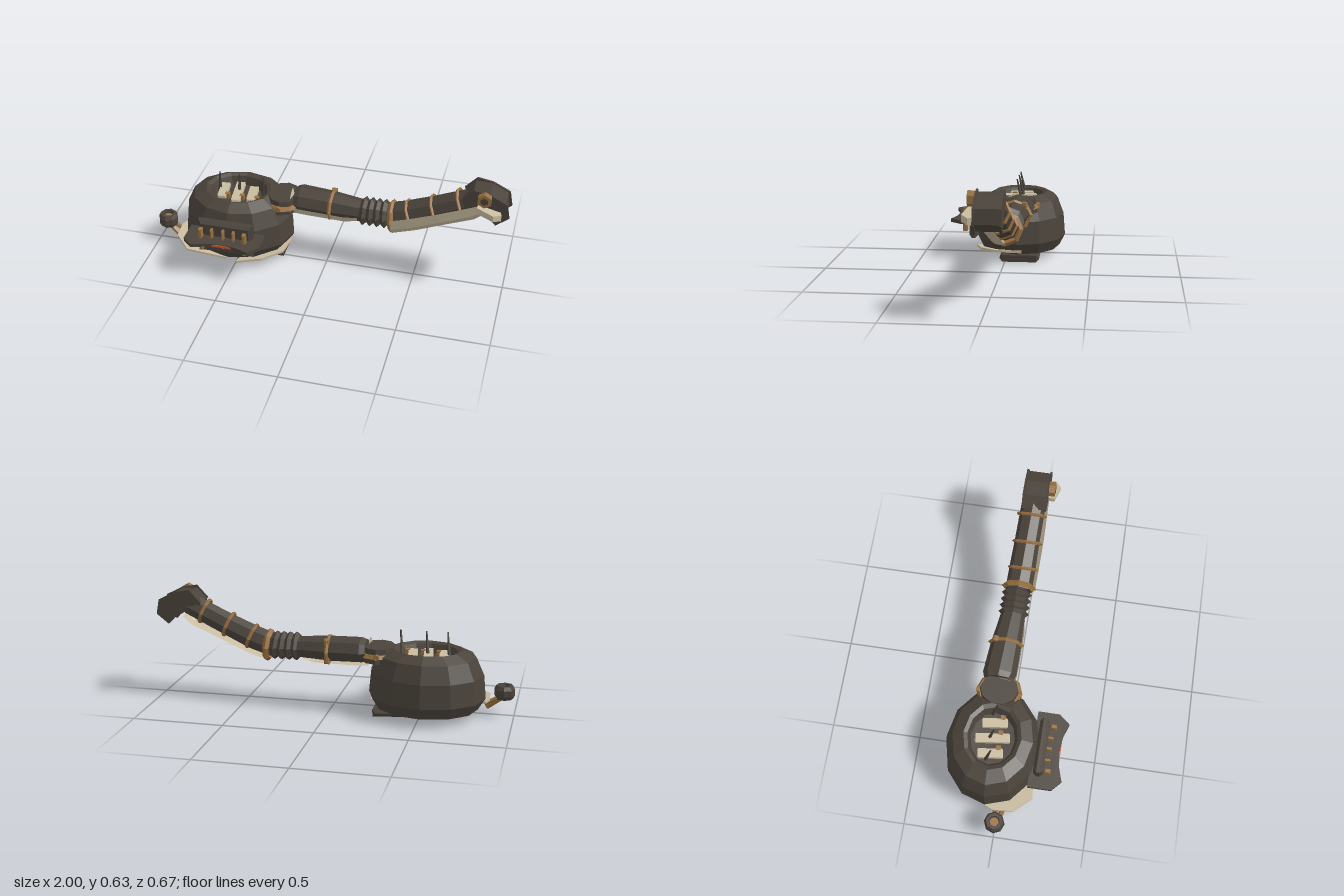
import * as THREE from 'three';

const paint = (color) => new THREE.MeshStandardMaterial({ color, flatShading: true, side: THREE.DoubleSide });

export function createModel() {
  const root = new THREE.Group();
  const dark = paint(0x4a433b), brown = paint(0x98703f), bone = paint(0xc8bb9f), ember = paint(0xd4552a);

  const add = (name, geo, mat, x = 0, y = 0, z = 0) => {
    const m = new THREE.Mesh(geo, mat);
    m.name = name;
    m.position.set(x, y, z);
    root.add(m);
    return m;
  };

  // box with chamfered edges, centred
  const bevelBox = (w, h, d, b) => {
    const x = w / 2 - b, y = h / 2 - b;
    const s = new THREE.Shape([[-x, -y], [x, -y], [x, y], [-x, y]].map((p) => new THREE.Vector2(...p)));
    return new THREE.ExtrudeGeometry(s, { depth: d - 2 * b, bevelEnabled: true, bevelSize: b, bevelThickness: b, bevelSegments: 1 })
      .translate(0, 0, b - d / 2);
  };

  // flat plate from [x, z] corners, sloping along x around x0
  const plate = (pts, thick, slope = 0, x0 = 0) => {
    const s = new THREE.Shape(pts.map(([x, z]) => new THREE.Vector2(x, -z)));
    const g = new THREE.ExtrudeGeometry(s, { depth: thick, bevelEnabled: false }).rotateX(-Math.PI / 2);
    const p = g.attributes.position;
    for (let i = 0; i < p.count; i++) p.setY(i, p.getY(i) + slope * (p.getX(i) - x0));
    g.computeVertexNormals();
    return g;
  };

  // skin over stations [x, y, z, halfHeight, halfWidth, tilt]; angle 0 is up, a quarter turn is +z
  const loft = (stations, from = 0, to = Math.PI * 2, n = 8) => {
    const pos = [], idx = [];
    stations.forEach(([x, y, z, h, w, tilt = 0], i) => {
      for (let j = 0; j <= n; j++) {
        const t = from + (to - from) * j / n, u = h * Math.cos(t);
        pos.push(x - u * Math.sin(tilt), y + u * Math.cos(tilt), z + w * Math.sin(t));
        if (i && j < n) {
          const a = (i - 1) * (n + 1) + j, b = a + n + 1;
          idx.push(a, a + 1, b, a + 1, b + 1, b);
        }
      }
    });
    const g = new THREE.BufferGeometry();
    g.setAttribute('position', new THREE.Float32BufferAttribute(pos, 3));
    g.setIndex(idx);
    g.computeVertexNormals();
    return g;
  };

  // octagonal band around the arm
  const band = (name, x, y, z, h, w, tilt = 0, tube = 0.011, mat = brown) => {
    const g = new THREE.TorusGeometry(1, tube / h, 4, 8).scale(w, h, h);
    add(name, g, mat, x, y, z).rotation.set(0, Math.PI / 2, tilt, 'ZYX');
  };

  const rod = (name, a, b, r, mat, r2 = r, sides = 6) => {
    const A = new THREE.Vector3(...a), B = new THREE.Vector3(...b), d = B.clone().sub(A);
    const m = add(name, new THREE.CylinderGeometry(r2, r, d.length(), sides), mat);
    m.position.copy(A).add(B).multiplyScalar(0.5);
    m.quaternion.setFromUnitVectors(new THREE.Vector3(0, 1, 0), d.normalize());
  };

  // body: twelve-sided oval pot with a sunken top
  const profile = [[0, 0.025], [0.17, 0.025], [0.28, 0.045], [0.32, 0.11], [0.308, 0.24], [0.265, 0.335],
    [0.19, 0.37], [0.165, 0.36], [0.145, 0.31], [0, 0.305]].map((p) => new THREE.Vector2(...p));
  add('body', new THREE.LatheGeometry(profile, 12).scale(1, 1, 0.83), dark, -0.53, 0, -0.07);

  // slats and spikes in the top opening
  [-0.62, -0.535, -0.45].forEach((x, i) => {
    add('topSlat', bevelBox(0.05, 0.025, i === 1 ? 0.19 : 0.14, 0.006), bone, x, 0.335, -0.07).rotation.y = 0.12;
    const sx = [-0.65, -0.535, -0.395][i];
    rod('spike', [sx, 0.32, -0.09], [sx + 0.015, 0.465, -0.06], 0.011, dark, 0.004, 4);
    add('slatPin', new THREE.BoxGeometry(0.025, 0.03, 0.025), brown, x + 0.035, 0.335, -0.03);
  });

  // front panel with grille bars, shelf and glowing slit
  add('frontPanel', bevelBox(0.31, 0.205, 0.055, 0.018), dark, -0.525, 0.21, 0.197);
  [-0.655, -0.595, -0.53, -0.47, -0.405].forEach((x, i) => {
    const outer = i === 0 || i === 4;
    add('grilleBar', bevelBox(outer ? 0.02 : 0.012, outer ? 0.138 : 0.115, 0.032, 0.004), brown, x, outer ? 0.214 : 0.222, outer ? 0.248 : 0.238);
  });
  add('shelf', plate([[-0.745, 0.15], [-0.315, 0.15], [-0.315, 0.27], [-0.365, 0.33], [-0.44, 0.305], [-0.53, 0.295],
    [-0.61, 0.305], [-0.69, 0.33], [-0.745, 0.28]], 0.02), dark, 0, 0.205, 0);
  add('glowSlit', new THREE.BoxGeometry(0.11, 0.012, 0.015), ember, -0.52, 0.215, 0.295);

  // plates under the body
  add('leftSkirt', plate([[-0.87, -0.02], [-0.85, -0.07], [-0.75, 0], [-0.6, 0.1], [-0.55, 0.16], [-0.77, 0.185], [-0.86, 0.09]],
    0.012, -0.17, -0.55), bone, 0, 0.028, 0);
  add('rightSkirt', plate([[-0.48, 0.19], [-0.34, 0.15], [-0.24, 0.06], [-0.22, -0.1], [-0.42, -0.06]],
    0.014, 0.1, -0.48), bone, 0, 0.033, 0);
  add('footPlate', bevelBox(0.36, 0.04, 0.23, 0.016), dark, -0.43, 0.03, -0.083).rotation.z = -0.06;

  // side knob and its brown stem
  const knob = [[0.025, 0.11], [0.03, 0.095], [0.045, 0.095], [0.056, 0.115], [0.056, 0.15], [0.045, 0.17], [0.03, 0.17], [0.025, 0.15]];
  add('sideKnob', new THREE.LatheGeometry(knob.map((p) => new THREE.Vector2(...p)), 8), dark, -0.945, 0, 0);
  add('knobCore', new THREE.CylinderGeometry(0.027, 0.027, 0.045, 6), brown, -0.945, 0.13, 0);
  rod('knobStem', [-0.95, 0.11, 0.005], [-0.85, 0.03, 0.03], 0.014, brown);
  rod('knobStem', [-0.93, 0.11, -0.01], [-0.84, 0.06, -0.01], 0.012, brown);

  // shoulder collar
  const collar = (name, r, h, mat) => add(name, new THREE.CylinderGeometry(r * 0.9, r, h, 10).scale(0.85, 1, 1), mat, -0.265, 0.335, -0.075);
  collar('shoulder', 0.115, 0.08, dark);
  collar('shoulderBand', 0.128, 0.02, brown);
  rod('shoulderAxle', [-0.27, 0.335, -0.2], [-0.27, 0.335, 0.05], 0.017, brown);

  // upper arm with its bone guard
  add('upperArm', loft([[-0.2, 0.335, -0.09, 0, 0], [-0.2, 0.345, -0.09, 0.06, 0.08], [-0.17, 0.345, -0.088, 0.072, 0.092],
    [0, 0.34, -0.08, 0.072, 0.085], [0.19, 0.335, -0.068, 0.06, 0.068], [0.19, 0.335, -0.068, 0, 0]]), dark);
  add('upperArmGuard', loft([[-0.21, 0.345, -0.085, 0.085, 0.09], [-0.12, 0.345, -0.085, 0.088, 0.096],
    [0.1, 0.335, -0.075, 0.08, 0.086], [0.17, 0.335, -0.068, 0.06, 0.07]], Math.PI * 0.55, Math.PI * 1.1, 3), bone);
  add('armEndPlate', loft([[-0.215, 0.345, -0.08, 0.07, 0.075], [-0.2, 0.345, -0.08, 0, 0]], 0, Math.PI), bone);
  band('upperArmBand', 0.012, 0.337, -0.08, 0.073, 0.088);
  add('bandClasp', bevelBox(0.03, 0.14, 0.035, 0.008), brown, 0.012, 0.337, -0.135);

  // elbow bellows
  add('elbowCore', new THREE.CylinderGeometry(0.06, 0.06, 0.2, 8).rotateZ(Math.PI / 2), dark, 0.27, 0.335, -0.065);
  for (let i = 0; i < 4; i++) band('elbowRing', 0.2 + i * 0.039, 0.336, -0.066, 0.063, 0.066, 0.03 * i, 0.019, dark);
  band('elbowBand', 0.36, 0.333, -0.06, 0.077, 0.08, 0.08, 0.018);

  // forearm rising to the head
  const T = 0.4;
  add('forearm', loft([[0.34, 0.335, -0.06, 0, 0, 0.1], [0.34, 0.335, -0.06, 0.07, 0.075, 0.1], [0.45, 0.37, -0.056, 0.07, 0.074, T],
    [0.6, 0.435, -0.05, 0.065, 0.07, T], [0.82, 0.535, -0.04, 0.062, 0.068, T], [0.82, 0.535, -0.04, 0, 0, T]]), dark);
  add('forearmGuard', loft([[0.36, 0.333, -0.05, 0.092, 0.085, 0.1], [0.47, 0.37, -0.047, 0.09, 0.087, 0.3], [0.62, 0.43, -0.042, 0.085, 0.087, T],
    [0.78, 0.495, -0.036, 0.085, 0.08, T], [0.84, 0.525, -0.034, 0.07, 0.078, T]], Math.PI * 0.42, Math.PI * 1.06, 3), bone);
  [[0.46, 0.375], [0.595, 0.433], [0.735, 0.5]].forEach(([x, y], i) => band('forearmBand', x, y, -0.053 + i * 0.005, 0.071, 0.077, T, 0.009));

  // head block with flared side cheeks
  const head = (name, pts, z, d) => add(name, new THREE.ExtrudeGeometry(new THREE.Shape(pts.map((p) => new THREE.Vector2(...p))),
    { depth: d, bevelEnabled: false }), dark, 0, 0, z);
  head('head', [[0.745, 0.555], [0.8, 0.615], [0.89, 0.61], [0.975, 0.565], [0.985, 0.49], [0.93, 0.445], [0.84, 0.5], [0.77, 0.49]], -0.095, 0.125);
  const cheek = [[0.74, 0.56], [0.805, 0.63], [0.89, 0.615], [0.985, 0.567], [1, 0.485], [0.93, 0.43], [0.85, 0.515]];
  head('headCheek', cheek, -0.105, 0.012);
  head('headCheek', cheek, 0.026, 0.01);
  add('headBolt', new THREE.CylinderGeometry(0.04, 0.04, 0.035, 6).rotateX(Math.PI / 2), brown, 0.865, 0.592, 0.053);
  add('headBoltCap', new THREE.CylinderGeometry(0.022, 0.022, 0.04, 6).rotateX(Math.PI / 2), dark, 0.865, 0.592, 0.053);
  add('headTooth', plate([[0.83, 0.025], [0.95, 0.025], [0.96, 0.06], [0.92, 0.095], [0.83, 0.07]], 0.035, -0.25, 0.9), bone, 0, 0.495, 0);

  return root;
}
